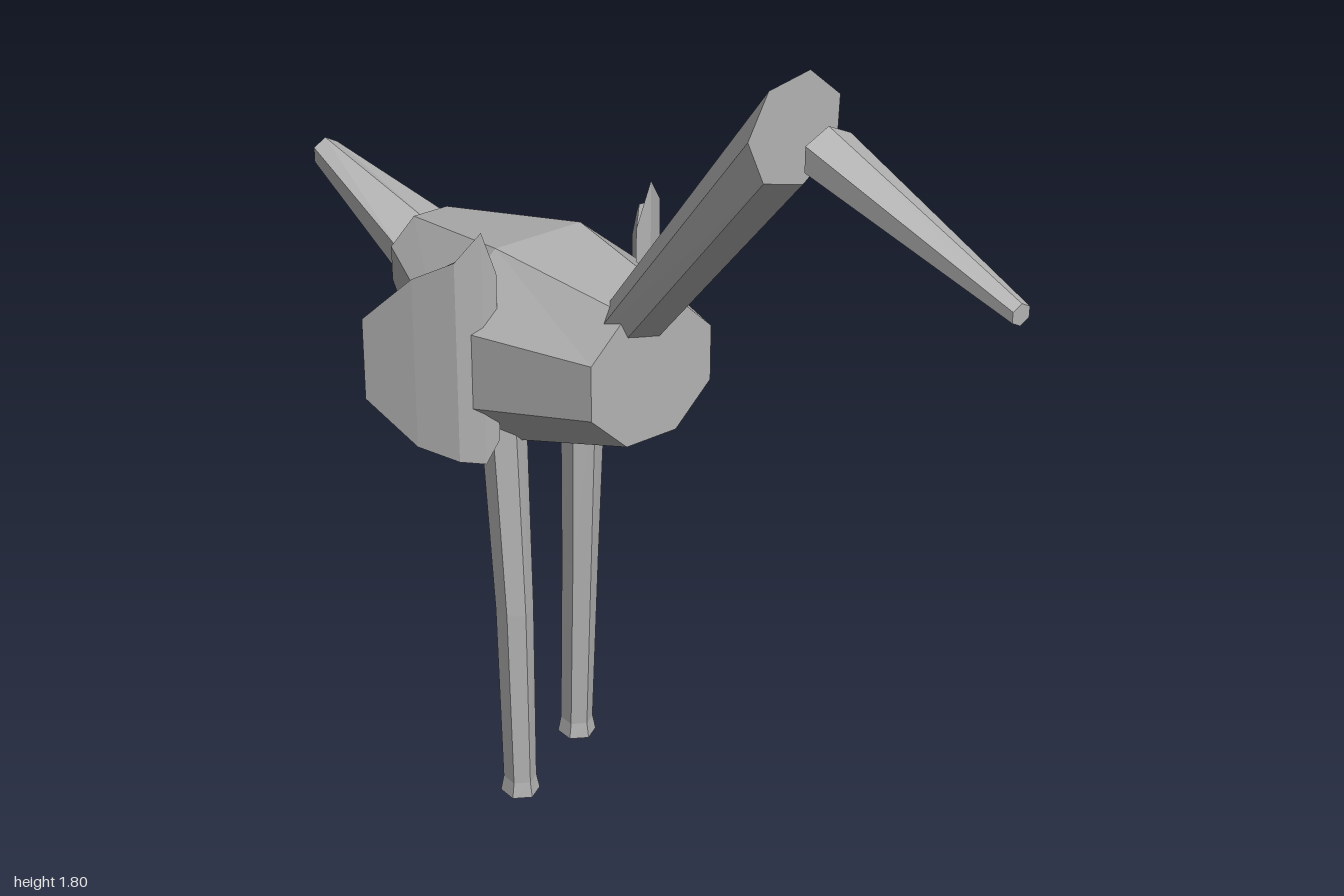
import * as THREE from 'three';

const grey = new THREE.MeshStandardMaterial({ color: 0xb2b2b2, flatShading: true });
grey.name = 'plain grey';

// Closed, capped skin through a series of rings with equal point counts.
function loft(name, rings) {
  const pos = [];
  const tri = (...pts) => pts.forEach((p) => pos.push(...p));
  const n = rings[0].length;
  for (let i = 0; i < rings.length - 1; i++) {
    for (let j = 0; j < n; j++) {
      const k = (j + 1) % n;
      const a = rings[i][j], b = rings[i][k], c = rings[i + 1][k], d = rings[i + 1][j];
      tri(a, b, c);
      tri(a, c, d);
    }
  }
  const first = rings[0], last = rings[rings.length - 1];
  for (let j = 1; j < n - 1; j++) {
    tri(first[0], first[j + 1], first[j]);
    tri(last[0], last[j], last[j + 1]);
  }
  const geo = new THREE.BufferGeometry();
  geo.setAttribute('position', new THREE.Float32BufferAttribute(pos, 3));
  geo.computeVertexNormals();
  const mesh = new THREE.Mesh(geo, grey);
  mesh.name = name;
  return mesh;
}

const angles = (n, startDeg) =>
  Array.from({ length: n }, (_, i) => THREE.MathUtils.degToRad(startDeg) + (i * 2 * Math.PI) / n);

// Upright ring facing +z, and level ring facing +y.
const ringZ = (n, start, x, y, z, rx, ry) =>
  angles(n, start).map((a) => [x + rx * Math.cos(a), y + ry * Math.sin(a), z]);
const ringY = (n, start, x, y, z, rx, rz) =>
  angles(n, start).map((a) => [x + rx * Math.cos(a), y, z - rz * Math.sin(a)]);

function wing(side) {
  // Columns from front to back: outer x, z, top, bottom, then inner x, z, top, bottom
  const columns = [
    [0.205, -0.163, 1.335, 0.837, 0.17, -0.165, 1.24, 0.88],
    [0.25, -0.19, 1.275, 0.845, 0.222, -0.222, 1.26, 0.86],
    [0.295, -0.27, 1.225, 0.86, 0.268, -0.288, 1.21, 0.87],
    [0.345, -0.375, 1.115, 0.94, 0.33, -0.383, 1.105, 0.95],
  ];
  const rings = columns.map(([ox, oz, ot, ob, ix, iz, it, ib]) => {
    const ring = [[ox, ot, oz], [ox, (ot + ob) / 2, oz], [ox, ob, oz], [ix, ib, iz], [ix, it, iz]]
      .map(([x, y, z]) => [side * x, y, z]);
    return side < 0 ? ring.reverse() : ring;
  });
  return loft(side > 0 ? 'leftWing' : 'rightWing', rings);
}

// Six-sided leg with a slightly flared foot
function leg(name, x, zFoot, zMid, zTop) {
  return loft(name, [
    ringY(6, 30, x, 0, zFoot, 0.041, 0.043),
    ringY(6, 30, x, 0.035, zFoot, 0.034, 0.037),
    ringY(6, 30, x, 0.45, zMid, 0.039, 0.039),
    ringY(6, 30, x, 0.92, zTop, 0.049, 0.043),
  ]);
}

export function createModel() {
  const bird = new THREE.Group();
  bird.name = 'longLeggedBird';

  // Octagonal body, widest at the wings
  const c = Math.cos(Math.PI / 8);
  bird.add(loft('body', [
    ringZ(8, 22.5, 0, 1.07, -0.64, 0.1 / c, 0.09 / c),
    ringZ(8, 22.5, 0, 1.03, -0.26, 0.25 / c, 0.21 / c),
    ringZ(8, 22.5, 0, 1.08, 0.1, 0.145 / c, 0.14 / c),
  ]));

  // Tapered tail
  bird.add(loft('tail', [
    ringZ(6, 30, -0.025, 1.182, -1, 0.034, 0.033),
    ringZ(6, 30, 0, 1.072, -0.62, 0.105, 0.057),
  ]));

  // Seven-sided neck with an upright cut end
  bird.add(loft('neck', [
    ringZ(7, 23.5, 0, 1.115, 0, 0.087, 0.077),
    ringZ(7, 23.5, 0.008, 1.695, 0.48, 0.108, 0.107),
  ]));

  // Separate pointed beak
  bird.add(loft('beak', [
    ringZ(6, 30, 0.014, 1.677, 0.555, 0.059, 0.048),
    ringZ(6, 30, 0.04, 1.535, 1, 0.022, 0.02),
  ]));

  bird.add(wing(1), wing(-1));
  bird.add(leg('leftLeg', 0.115, -0.302, -0.285, -0.268));
  bird.add(leg('rightLeg', -0.115, -0.198, -0.205, -0.232));
  return bird;
}
